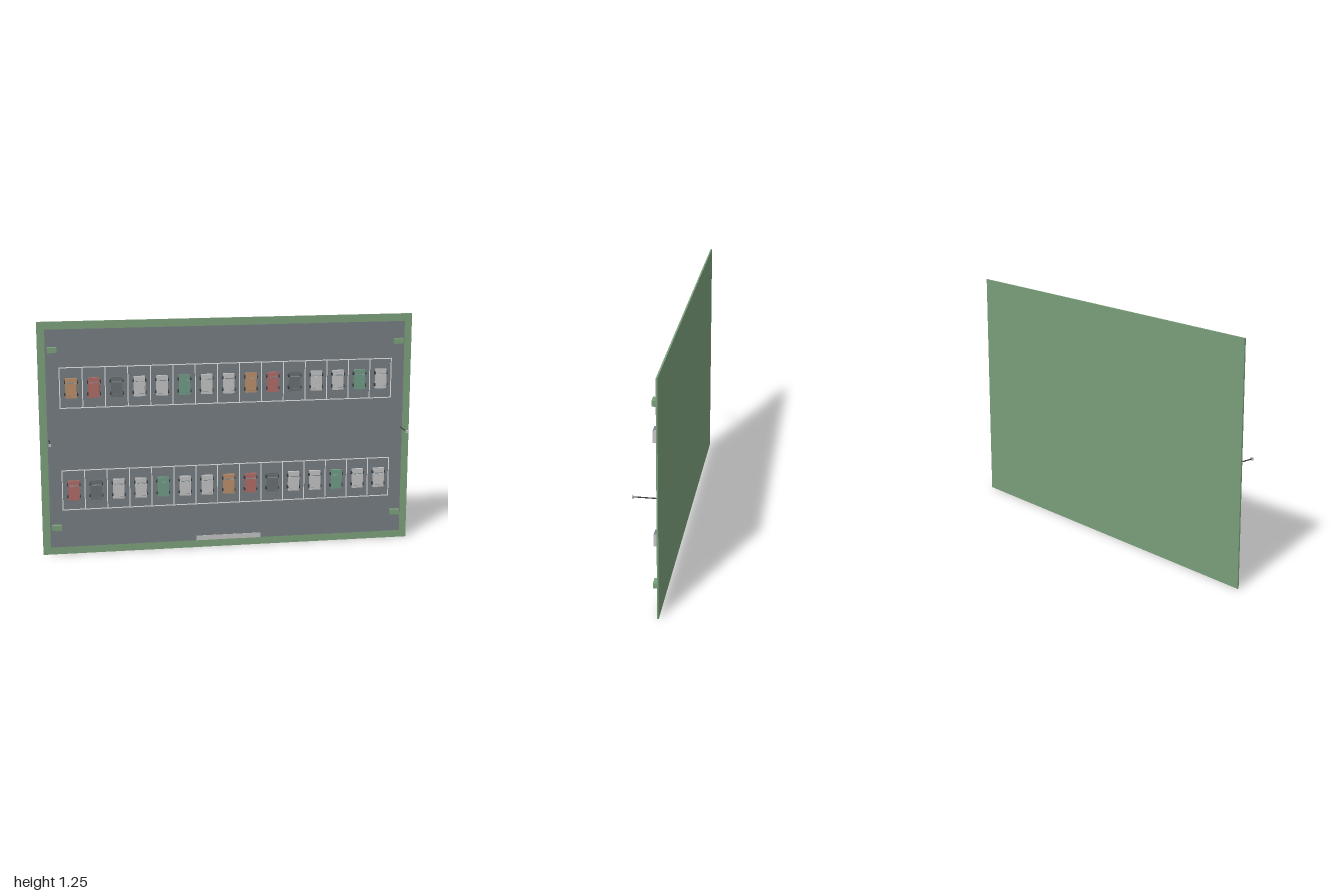
import * as THREE from 'three';

const mat = (name, color) => {
  const m = new THREE.MeshStandardMaterial({ color });
  m.name = name;
  return m;
};

export function createModel() {
  const root = new THREE.Group();
  root.name = 'parkingLot';
  const grass = mat('grass', 0x7a9f7a);
  const asphalt = mat('asphalt', 0x747c80);
  const paint = mat('linePaint', 0xe2e4e4);
  const black = mat('darkRubber', 0x3c4042);
  const glass = mat('glass', 0x75858f);
  const orange = mat('orangeCar', 0xb98d69);
  const red = mat('redCar', 0xad6a65);
  const grey = mat('greyCar', 0x676f72);
  const silver = mat('silverCar', 0xc0c1c1);
  const green = mat('greenCar', 0x6f9a83);
  const carColors = [orange, red, grey, silver, silver, green, silver, silver];

  const add = (parent, name, geo, m, x, y, z) => {
    const mesh = new THREE.Mesh(geo, m);
    mesh.name = name;
    mesh.position.set(x, y, z);
    parent.add(mesh);
    return mesh;
  };
  const box = (parent, name, m, w, h, d, x, y, z) =>
    add(parent, name, new THREE.BoxGeometry(w, h, d), m, x, y, z);

  // Ground slab, paved surface and entrance strip
  box(root, 'grassSlab', grass, 2, 1.25, 0.008, 0, 0.625, -0.061);
  box(root, 'pavement', asphalt, 1.92, 1.17, 0.003, 0, 0.625, -0.0555);
  box(root, 'entranceStrip', silver, 0.355, 0.026, 0.003, 0, 0.053, -0.053);

  // Cabin narrows towards its roof
  const cabinGeo = new THREE.BoxGeometry(0.054, 0.066, 0.018);
  const p = cabinGeo.attributes.position;
  for (let i = 0; i < p.count; i++) {
    if (p.getZ(i) > 0) p.setXY(i, p.getX(i) * 0.92, p.getY(i) * 0.96);
  }
  cabinGeo.computeVertexNormals();
  const bodyGeo = new THREE.BoxGeometry(0.06, 0.106, 0.017);
  const wheelGeo = new THREE.CylinderGeometry(0.009, 0.009, 0.009, 12).rotateZ(Math.PI / 2);
  const screenGeo = new THREE.BoxGeometry(0.047, 0.002, 0.014);

  const makeCar = (m, x, y) => {
    const car = new THREE.Group();
    car.name = 'car';
    car.position.set(x, y, 0);
    add(car, 'carBody', bodyGeo, m, 0, 0, -0.0445);
    add(car, 'carCabin', cabinGeo, m, 0, -0.004, -0.027);
    for (const s of [-1, 1]) {
      add(car, 'windscreen', screenGeo, glass, 0, -0.004 + s * 0.0325, -0.027);
      for (const t of [-1, 1]) add(car, 'wheel', wheelGeo, black, s * 0.0315, t * 0.032, -0.045);
    }
    root.add(car);
  };

  // Two rows of fifteen bays, each with a parked car
  const count = 15, pitch = 1.78 / count, bayHeight = 0.214;
  [0.902, 0.352].forEach((y, row) => {
    for (const s of [-1, 1])
      box(root, 'bayEndLine', paint, 1.785, 0.005, 0.002, 0, y + s * bayHeight / 2, -0.0535);
    for (let i = 0; i <= count; i++)
      box(root, 'bayDivider', paint, 0.005, bayHeight, 0.002, -0.89 + i * pitch, y, -0.0535);
    for (let i = 0; i < count; i++)
      makeCar(carColors[(i + row) % 8], -0.89 + (i + 0.5) * pitch, y);
  });

  // Corner hedges and lamp posts
  for (const s of [-1, 1]) {
    for (const y of [0.152, 1.105])
      box(root, 'hedge', grass, 0.05, 0.028, 0.026, s * 0.925, y, -0.042);
    const pole = new THREE.CylinderGeometry(0.003, 0.003, 0.117, 8).rotateX(Math.PI / 2);
    add(root, 'lampPole', pole, black, s * 0.952, 0.627, 0.0025);
    box(root, 'lampHead', silver, 0.013, 0.015, 0.006, s * 0.952, 0.627, 0.062);
  }
  return root;
}
